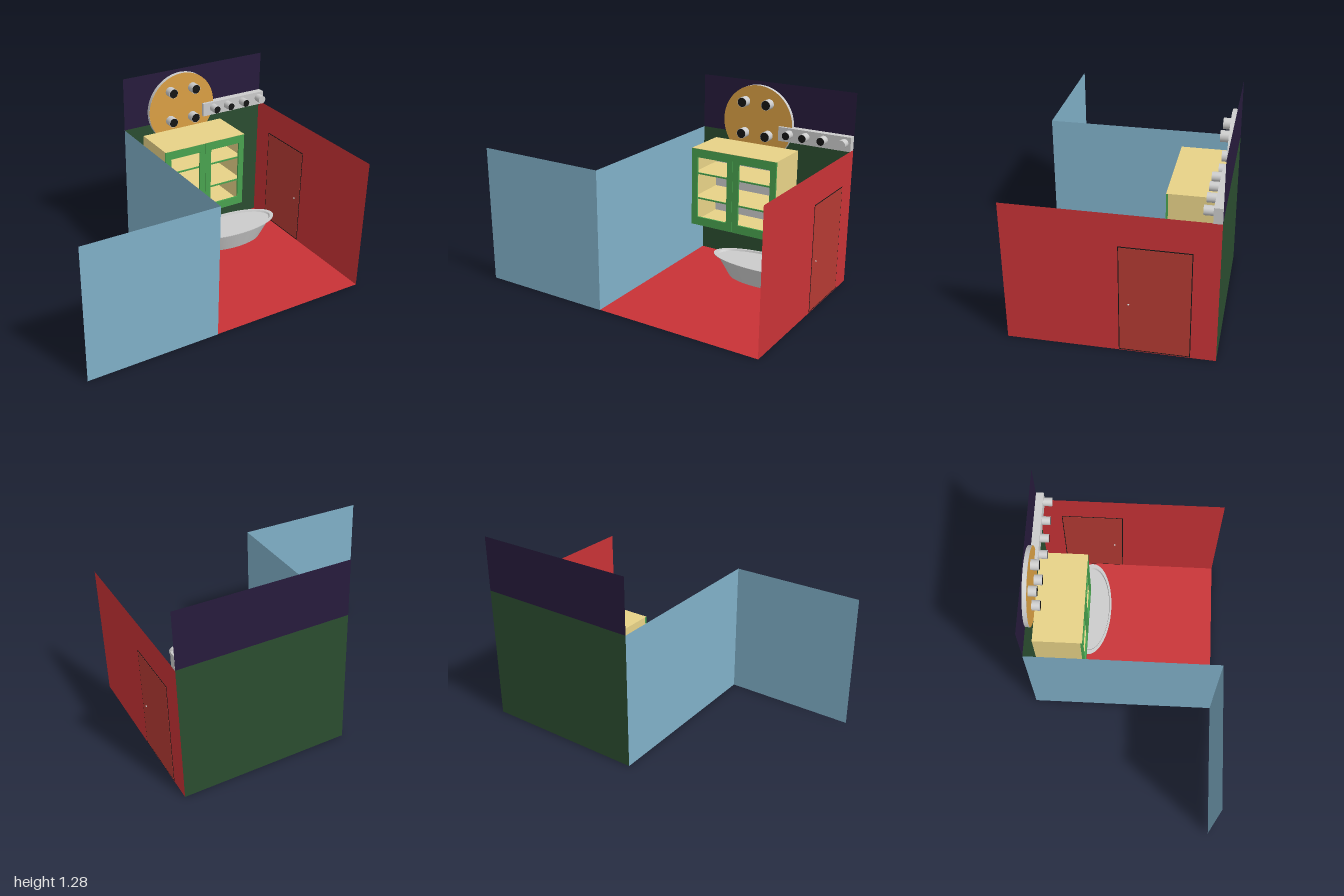
import * as THREE from 'three';

const mat = (color, side = THREE.FrontSide) => new THREE.MeshStandardMaterial({ color, side });
const GREY = mat(0xcccccc), DARK = mat(0x151515), GREEN = mat(0x49a34f), TAN = mat(0xe7d287);
const RED = mat(0xc83236, THREE.DoubleSide), BLUE = mat(0x80b0c8, THREE.DoubleSide);

export function createModel() {
  const room = new THREE.Group();
  room.name = 'room';

  const add = (name, geometry, material, x, y, z, parent = room) => {
    const m = new THREE.Mesh(geometry, material);
    m.name = name;
    m.position.set(x, y, z);
    parent.add(m);
    return m;
  };
  // Box given by its limits on each axis
  const box = (name, material, [x0, x1], [y0, y1], [z0, z1], parent) =>
    add(name, new THREE.BoxGeometry(x1 - x0, y1 - y0, z1 - z0), material,
      (x0 + x1) / 2, (y0 + y1) / 2, (z0 + z1) / 2, parent);

  // Floor and thin walls
  const L = -0.11, R = 0.998, D = 0.622, H = 0.915;
  const W = R - L, MX = (L + R) / 2;
  add('floor', new THREE.PlaneGeometry(W, 2 * D), RED, MX, 0.002, 0).rotation.x = -Math.PI / 2;
  add('backWall', new THREE.PlaneGeometry(W, H), mat(0x2b4d30, THREE.DoubleSide), MX, H / 2, -D);
  add('upperBackWall', new THREE.PlaneGeometry(W, 0.37), mat(0x271b3c, THREE.DoubleSide), MX, H + 0.185, -D);
  add('rightSideWall', new THREE.PlaneGeometry(2 * D, H), RED, R, H / 2, 0).rotation.y = Math.PI / 2;
  add('leftSideWall', new THREE.PlaneGeometry(2 * D, H), BLUE, L, H / 2, 0).rotation.y = Math.PI / 2;
  add('frontWall', new THREE.PlaneGeometry(L + 1, H), BLUE, (L - 1) / 2, H / 2, D);

  // Door with a dark outline and a small handle on each face
  box('doorOutline', DARK, [R - 0.001, R + 0.001], [0.005, 0.711], [-0.472, -0.053]);
  box('door', mat(0xb43a33), [R - 0.002, R + 0.002], [0.011, 0.705], [-0.467, -0.058]);
  for (const x of [R - 0.007, R + 0.002])
    add('doorHandle', new THREE.SphereGeometry(0.006, 12, 8), GREY, x, 0.33, -0.112);

  // Wall cabinet: open carcass, shelves and two framed doors
  const cabinet = new THREE.Group();
  cabinet.name = 'cabinet';
  room.add(cabinet);
  const x0 = 0.012, x1 = 0.636, y0 = 0.322, y1 = 0.862, zb = -0.58, zf = -0.262, t = 0.012;
  box('cabinetBack', GREY, [x0 + t, x1 - t], [y0 + t, y1 - t], [zb, zb + t], cabinet);
  for (const x of [x0, x1 - t])
    box('cabinetSide', TAN, [x, x + t], [y0, y1], [zb, zf - t], cabinet);
  for (const y of [y0, y1 - t])
    box('cabinetPanel', TAN, [x0 + t, x1 - t], [y, y + t], [zb, zf - t], cabinet);
  box('cabinetLid', TAN, [x0, x1], [y1 - 0.001, y1 + 0.001], [zb, zf], cabinet);
  for (const y of [0.511, 0.687]) {
    box('shelf', TAN, [x0 + t, x1 - t], [y - 0.005, y + 0.005], [zb + t, zf - 0.02], cabinet);
    box('shelfEdge', GREEN, [x0 + t, x1 - t], [y - 0.005, y + 0.005], [zf - 0.02, zf - 0.013], cabinet);
  }
  for (const [a, b, ha, hb] of [[x0, 0.322, 0.054, 0.28], [0.324, x1, 0.368, 0.594]]) {
    const rect = (p, l, r, bt, tp) => {
      p.moveTo(l, bt); p.lineTo(r, bt); p.lineTo(r, tp); p.lineTo(l, tp); p.closePath();
      return p;
    };
    const shape = rect(new THREE.Shape(), a, b, y0, y1);
    shape.holes.push(rect(new THREE.Path(), ha, hb, 0.38, 0.803));
    add('cabinetDoor', new THREE.ExtrudeGeometry(shape, { depth: t, bevelEnabled: false }),
      GREEN, 0, 0, zf - t, cabinet);
  }

  // Cylinder pointing forward from the wall
  const knob = (name, x, y, z0, z1, r, dark) => {
    const g = new THREE.CylinderGeometry(r, r, z1 - z0, 32).rotateX(Math.PI / 2);
    add(name, g, GREY, x, y, (z0 + z1) / 2);
    if (dark) add(name + 'Cap', new THREE.CircleGeometry(r * 0.92, 32), DARK, x, y, z1 + 0.001);
  };

  // Round panel with four knobs
  const disc = new THREE.CylinderGeometry(0.256, 0.256, 0.028, 64).rotateX(Math.PI / 2);
  add('roundPanel', disc, GREY, 0.324, 1.006, -0.605);
  add('roundPanelFace', new THREE.CircleGeometry(0.256, 64), mat(0xdba044), 0.324, 1.006, -0.59);
  for (const x of [0.23, 0.407])
    for (const y of [0.93, 1.145]) knob('panelKnob', x, y, -0.592, -0.537, 0.034, true);

  // Long bar with four knobs, the last one plain
  box('knobBar', GREY, [0.49, R], [0.912, 1.007], [-0.62, -0.57]);
  [0.57, 0.687, 0.815, 0.954].forEach((x, i) => knob('barKnob', x, 0.966, -0.572, -0.514, 0.028, i < 3));

  // Oval tub: tapered wall, thin lip and a nearly level inside
  const profile = [[0, 0.022], [0.235, 0.022], [0.325, 0.152], [0.356, 0.16], [0.356, 0.164],
    [0.326, 0.164], [0.318, 0.152], [0, 0.152]].map(([r, y]) => new THREE.Vector2(r, y));
  const tub = profile.slice(1).map((p, i) => [profile[i], p]);
  const tubGroup = new THREE.Group();
  tubGroup.name = 'tub';
  room.add(tubGroup);
  const tubMat = mat(0xcccccc, THREE.DoubleSide);
  for (const band of tub)
    add('tubBand', new THREE.LatheGeometry(band, 64), tubMat, 0.556, 0, -0.268, tubGroup).scale.z = 0.426;

  return room;
}
